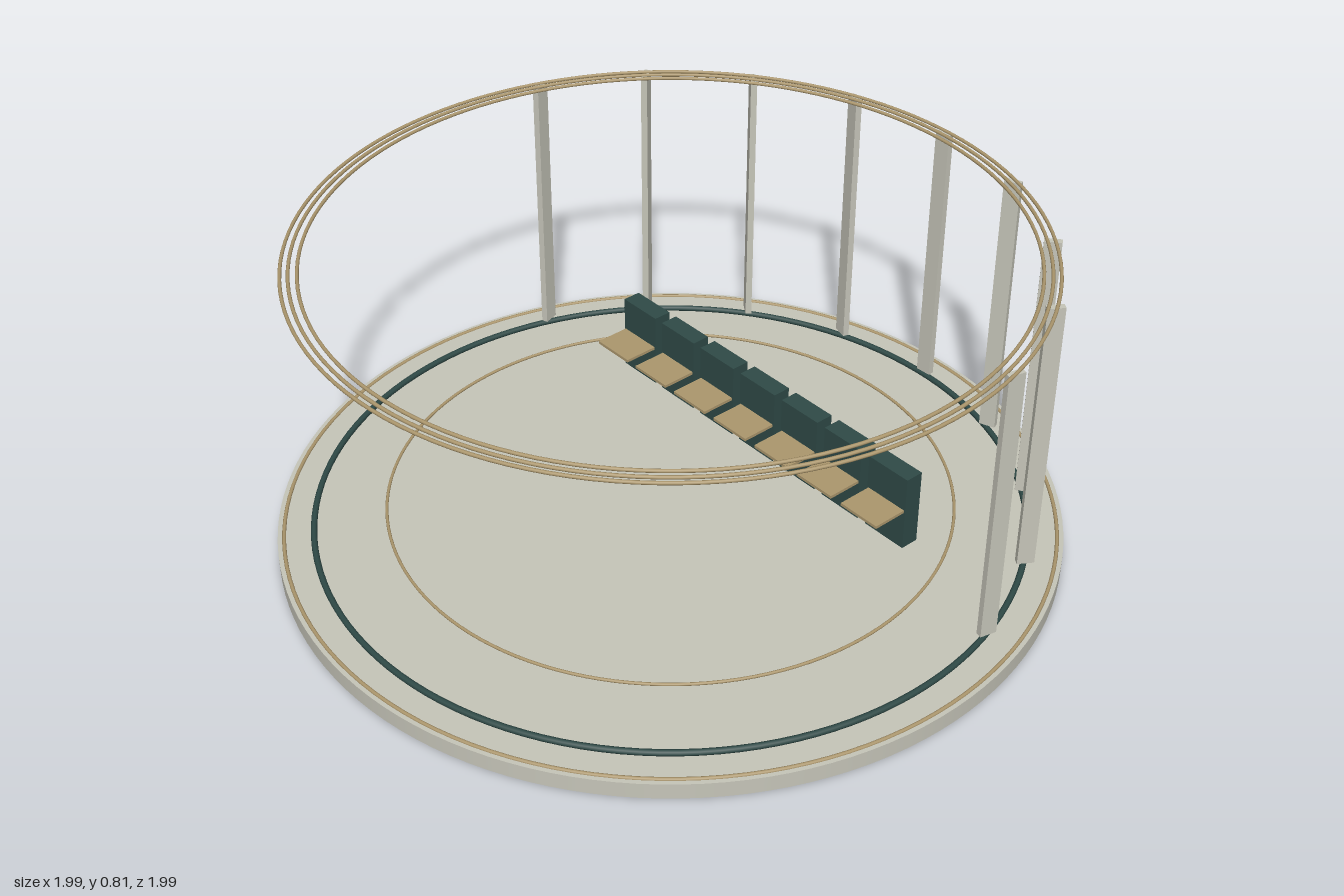
import * as THREE from 'three';

const material = (name, color) => {
  const m = new THREE.MeshStandardMaterial({ color });
  m.name = name;
  return m;
};

export function createModel() {
  const model = new THREE.Group();
  model.name = 'roundPavilion';
  const stone = material('paleStone', 0xc6c5b9);
  const brass = material('agedBrass', 0xac976d);
  const teal = material('darkTeal', 0x2f4a47);

  const add = (name, geometry, mat, x, y, z, parent = model) => {
    const mesh = new THREE.Mesh(geometry, mat);
    mesh.name = name;
    mesh.position.set(x, y, z);
    parent.add(mesh);
    return mesh;
  };
  const ring = (name, radius, tube, y, mat) => {
    const geometry = new THREE.TorusGeometry(radius, tube, 8, 128).rotateX(Math.PI / 2);
    add(name, geometry, mat, 0, y, 0);
  };

  // Round platform with its inlaid and raised rings
  add('platform', new THREE.CylinderGeometry(0.996, 0.996, 0.043, 128), stone, 0, 0.0215, 0);
  ring('platformEdgeRing', 0.98, 0.005, 0.043, brass);
  ring('platformTrackRing', 0.905, 0.008, 0.049, teal);
  ring('innerFloorRing', 0.72, 0.004, 0.081, brass);

  // Overhead rings
  for (const radius of [0.912, 0.893, 0.872]) ring('overheadRing', radius, 0.0045, 0.807, brass);

  // Nine upright slats around the back, each turned against the curve
  const slat = new THREE.BoxGeometry(0.044, 0.745, 0.017);
  for (let i = 0; i < 9; i++) {
    const angle = Math.PI * (0.08 + (0.82 * i) / 8);
    const post = add('upright', slat, stone, 0.908 * Math.cos(angle), 0.4325, -0.908 * Math.sin(angle));
    post.rotation.y = Math.PI / 2 - angle;
  }

  // Row of seven seats, the pads passing through the backs
  const back = new THREE.BoxGeometry(0.13, 0.21, 0.05);
  const pad = new THREE.BoxGeometry(0.122, 0.008, 0.148);
  for (let i = -3; i <= 3; i++) {
    const seat = new THREE.Group();
    seat.name = 'seat';
    seat.position.x = i * 0.157;
    add('seatBack', back, teal, 0, 0.171, -0.32, seat);
    add('seatPad', pad, brass, 0, 0.178, -0.273, seat);
    model.add(seat);
  }
  return model;
}
